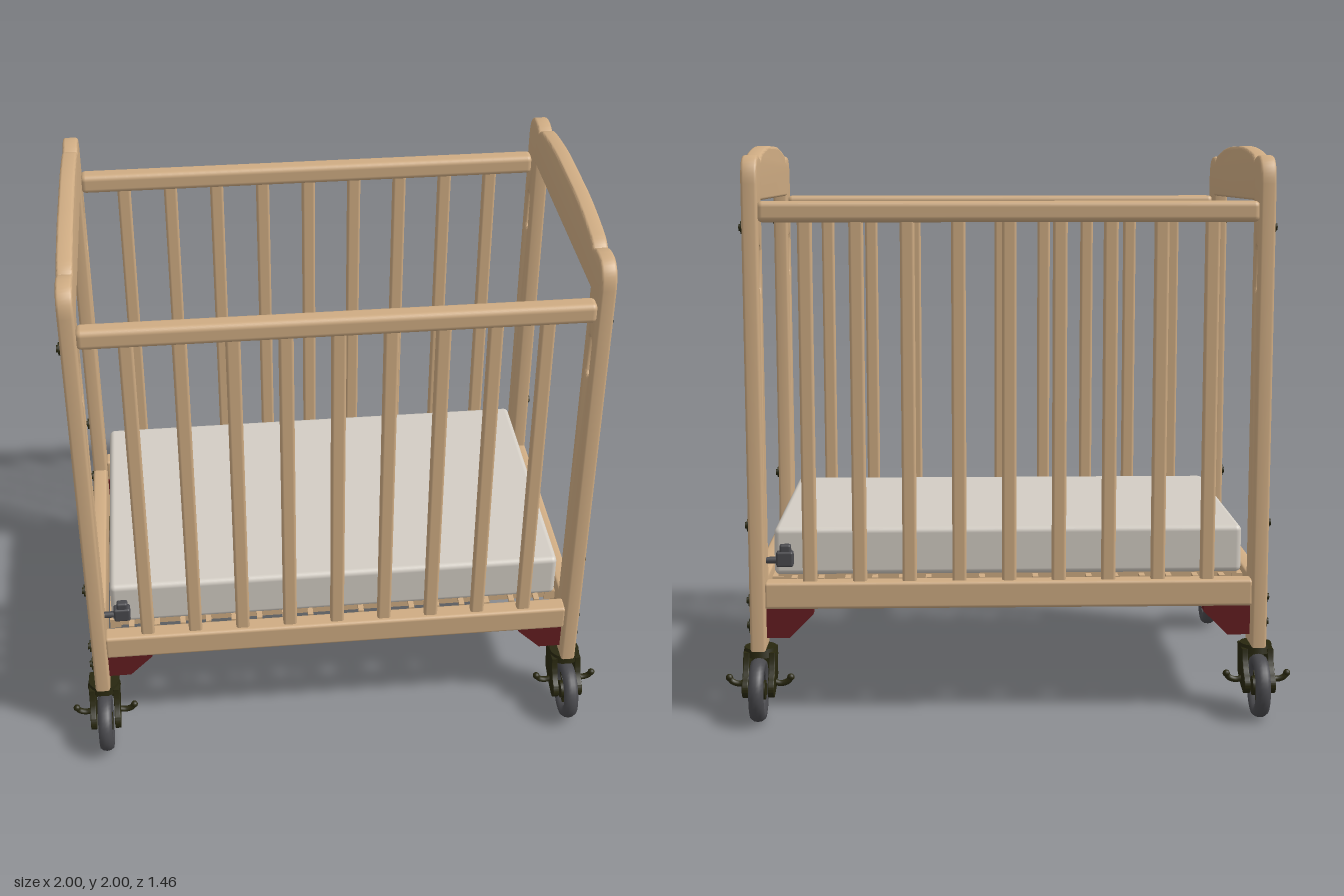
import * as THREE from 'three';
import { RoundedBoxGeometry } from 'three/addons/geometries/RoundedBoxGeometry.js';
import { toCreasedNormals } from 'three/addons/utils/BufferGeometryUtils.js';

const material = (name, color) => {
  const m = new THREE.MeshStandardMaterial({ color });
  m.name = name;
  return m;
};

export function createModel() {
  const model = new THREE.Group();
  model.name = 'cot';
  const wood = material('wood', 0xcfac83);
  const fabric = material('mattress fabric', 0xd3cdc4);
  const rubber = material('rubber', 0x4a4a4e);
  const iron = material('dark iron', 0x28270f);
  const red = material('bracket red', 0x641d20);
  const label = material('label white', 0xe6e2d8);

  const add = (parent, name, geometry, mat, x = 0, y = 0, z = 0) => {
    const mesh = new THREE.Mesh(geometry, mat);
    mesh.name = name;
    mesh.position.set(x, y, z);
    parent.add(mesh);
    return mesh;
  };
  const rounded = (w, h, d, r) => new RoundedBoxGeometry(w, h, d, 3, r);
  const box = (w, h, d) => new THREE.BoxGeometry(w, h, d);
  const rod = (r, length) => new THREE.CylinderGeometry(r, r, length, 20).rotateZ(Math.PI / 2);

  // Extrudes a (z, y) outline along x, centred on x = 0
  const slab = (shape, thickness, bevel) => {
    const g = new THREE.ExtrudeGeometry(shape, {
      depth: thickness - 2 * bevel, bevelEnabled: bevel > 0, bevelThickness: bevel,
      bevelSize: bevel, bevelOffset: -bevel, bevelSegments: 3, curveSegments: 10,
    });
    g.translate(0, 0, -thickness / 2 + bevel).rotateY(-Math.PI / 2);
    return toCreasedNormals(g, 0.6);
  };

  // End panel: two posts, arched head rail and scalloped foot rail in one board
  const end = new THREE.Shape();
  end.moveTo(0.593, 0.24);
  end.lineTo(0.593, 1.87);
  end.quadraticCurveTo(0.59, 1.965, 0.51, 1.965);
  end.quadraticCurveTo(0.47, 1.965, 0.44, 1.948);
  end.quadraticCurveTo(0.42, 1.968, 0.38, 1.974);
  end.quadraticCurveTo(0.22, 2, 0.1, 2);
  end.lineTo(-0.1, 2);
  end.quadraticCurveTo(-0.22, 2, -0.38, 1.974);
  end.quadraticCurveTo(-0.42, 1.968, -0.44, 1.948);
  end.quadraticCurveTo(-0.47, 1.965, -0.51, 1.965);
  end.quadraticCurveTo(-0.59, 1.965, -0.593, 1.87);
  end.lineTo(-0.593, 0.24);
  end.lineTo(-0.46, 0.24);
  end.lineTo(-0.46, 0.305);
  end.quadraticCurveTo(-0.22, 0.345, 0, 0.308);
  end.quadraticCurveTo(0.22, 0.345, 0.46, 0.305);
  end.lineTo(0.46, 0.24);
  end.closePath();
  const opening = new THREE.Path();
  opening.moveTo(-0.46, 0.485);
  opening.lineTo(0.46, 0.485);
  opening.lineTo(0.46, 1.81);
  opening.lineTo(-0.46, 1.81);
  opening.closePath();
  end.holes.push(opening);
  for (const s of [-1, 1]) {
    const slot = new THREE.Path();
    slot.moveTo(s * 0.525 + 0.021, 1.52);
    slot.lineTo(s * 0.525 + 0.021, 1.635);
    slot.absarc(s * 0.525, 1.635, 0.021, 0, Math.PI, false);
    slot.lineTo(s * 0.525 - 0.021, 1.52);
    slot.absarc(s * 0.525, 1.52, 0.021, Math.PI, Math.PI * 2, false);
    end.holes.push(slot);
  }
  const endGeometry = slab(end, 0.055, 0.01);

  for (const sx of [-1, 1]) {
    add(model, 'endPanel', endGeometry, wood, sx * 0.8825);
    // Bolts on the posts
    for (const sz of [-1, 1]) for (const y of [0.32, 0.41, 0.68, 1.72]) {
      add(model, 'bolt', rod(0.022, 0.01), iron, sx * 0.914, y, sz * 0.525);
      add(model, 'boltHead', rod(0.012, 0.012), iron, sx * 0.92, y, sz * 0.525);
      if (y < 0.4) add(model, 'boltLower', box(0.008, 0.05, 0.03), iron, sx * 0.913, y, sz * 0.525);
    }
  }

  // Long sides: two rails and nine slats each
  for (const sz of [-1, 1]) {
    const z = sz * 0.547;
    add(model, 'topRail', rounded(1.72, 0.072, 0.068, 0.02), wood, 0, 1.774, z);
    add(model, 'bottomRail', rounded(1.72, 0.096, 0.068, 0.012), wood, 0, 0.437, z);
    for (let i = -4; i <= 4; i++) {
      add(model, 'slat', rounded(0.05, 1.29, 0.034, 0.01), wood, i * 0.175, 1.11, z);
    }
  }

  // Mattress
  add(model, 'mattress', rounded(1.66, 0.17, 1.0, 0.02), fabric, 0, 0.578, 0);

  // Mattress support: board, frame and cross battens
  add(model, 'supportBoard', box(1.64, 0.012, 0.93), wood, 0, 0.486, 0);
  for (const s of [-1, 1]) {
    add(model, 'supportEndRail', box(0.04, 0.04, 0.94), wood, s * 0.82, 0.462, 0);
    add(model, 'supportSideRail', box(1.6, 0.03, 0.03), wood, 0, 0.465, s * 0.45);
    for (let i = -8; i <= 8; i++) {
      add(model, 'supportPeg', box(0.02, 0.012, 0.06), wood, i * 0.095, 0.48, s * 0.485);
    }
  }
  for (let i = -3; i <= 3; i++) {
    add(model, 'supportBatten', box(1.6, 0.014, 0.055), wood, 0, 0.474, i * 0.12);
  }
  add(model, 'label', box(0.08, 0.004, 0.07), label, -0.53, 0.464, 0);

  // Corner brackets beneath the bottom rails
  const gusset = new THREE.Shape([[0.855, 0.28], [0.855, 0.395], [0.69, 0.395], [0.69, 0.365], [0.775, 0.28]]
    .map(([x, y]) => new THREE.Vector2(x, y)));
  const gussetGeometry = new THREE.ExtrudeGeometry(gusset, { depth: 0.05, bevelEnabled: false })
    .translate(0, 0, -0.025);
  for (const sx of [-1, 1]) for (const sz of [-1, 1]) {
    const g = add(model, 'cornerBracket', gussetGeometry, red, 0, 0, sz * 0.53);
    if (sx < 0) g.rotation.y = Math.PI;
  }

  // Latches at two opposite corners
  for (const s of [-1, 1]) {
    const latch = new THREE.Group();
    latch.name = 'latch';
    latch.rotation.y = s > 0 ? 0 : Math.PI;
    add(latch, 'latchBody', rounded(0.06, 0.055, 0.04, 0.008), rubber, -0.79, 0.558, 0.52);
    add(latch, 'latchKnob', rounded(0.04, 0.04, 0.03, 0.008), rubber, -0.788, 0.59, 0.52);
    add(latch, 'latchPin', rod(0.012, 0.07), rubber, -0.83, 0.553, 0.52);
    model.add(latch);
  }

  // Casters: tyre, spoked hub, fork cheeks, swivel and brake pedals
  const tyreProfile = [[0.066, -0.018], [0.085, -0.026], [0.1, -0.025], [0.109, -0.013], [0.111, 0],
    [0.109, 0.013], [0.1, 0.025], [0.085, 0.026], [0.066, 0.018], [0.066, -0.018]]
    .map(([r, y]) => new THREE.Vector2(r, y));
  const tyre = new THREE.LatheGeometry(tyreProfile, 36).rotateZ(Math.PI / 2);
  const cheek = new THREE.Shape();
  cheek.moveTo(-0.055, 0.235);
  cheek.lineTo(0.05, 0.235);
  cheek.quadraticCurveTo(0.06, 0.17, 0.105, 0.145);
  cheek.absarc(0.085, 0.117, 0.032, 0.8, -Math.PI / 2, true);
  cheek.lineTo(0.02, 0.1);
  cheek.lineTo(-0.04, 0.13);
  cheek.closePath();
  const cheekGeometry = slab(cheek, 0.022, 0.003).scale(1, 1, 1);
  const makeCaster = () => {
    const c = new THREE.Group();
    c.name = 'caster';
    add(c, 'tyre', tyre, rubber, 0, 0.112, 0.085);
    add(c, 'hub', rod(0.034, 0.05), iron, 0, 0.112, 0.085);
    for (let i = 0; i < 3; i++) {
      add(c, 'spoke', box(0.022, 0.135, 0.016), iron, 0, 0.112, 0.085).rotation.x = i * Math.PI / 3;
    }
    add(c, 'swivel', new THREE.CylinderGeometry(0.056, 0.062, 0.03, 24), iron, 0, 0.232, 0);
    add(c, 'forkBridge', box(0.1, 0.08, 0.04), iron, 0, 0.185, -0.032);
    for (const s of [-1, 1]) {
      add(c, 'forkCheek', cheekGeometry, iron, s * 0.045, 0, 0);
      const path = new THREE.CatmullRomCurve3([[0.05, 0.125], [0.075, 0.12], [0.098, 0.128], [0.108, 0.142]]
        .map(([x, y]) => new THREE.Vector3(s * x, y, 0.035)));
      add(c, 'brakePedal', new THREE.TubeGeometry(path, 12, 0.011, 8), iron);
      add(c, 'pedalTip', new THREE.SphereGeometry(0.013, 12, 8), iron, s * 0.108, 0.142, 0.035);
    }
    return c;
  };
  for (const sx of [-1, 1]) for (const sz of [-1, 1]) {
    const caster = makeCaster();
    caster.position.set(sx * 0.88, 0, sz * 0.535);
    if (sz < 0) caster.rotation.y = Math.PI;
    model.add(caster);
  }

  return model;
}
